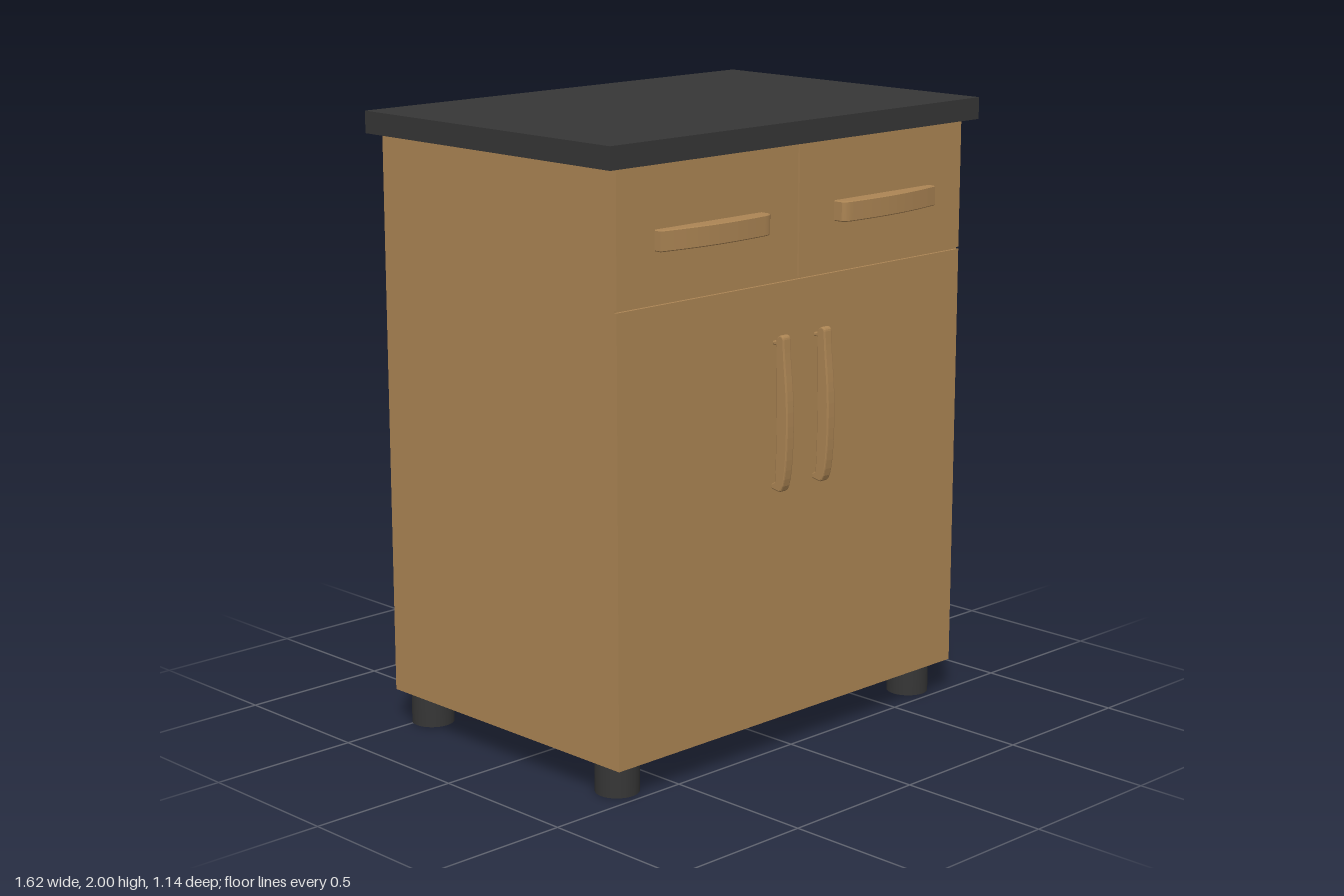
import * as THREE from 'three';

const wood = new THREE.MeshStandardMaterial({ color: 0xac8554 });
wood.name = 'wood';
const charcoal = new THREE.MeshStandardMaterial({ color: 0x363636 });
charcoal.name = 'charcoal';

export function createModel() {
  const model = new THREE.Group();
  model.name = 'cabinet';

  const add = (name, geometry, material) => {
    const mesh = new THREE.Mesh(geometry, material);
    mesh.name = name;
    model.add(mesh);
    return mesh;
  };
  // Box given by its minimum and maximum on each axis
  const box = (name, [x0, x1], [y0, y1], [z0, z1], material) =>
    add(name, new THREE.BoxGeometry(x1 - x0, y1 - y0, z1 - z0), material)
      .position.set((x0 + x1) / 2, (y0 + y1) / 2, (z0 + z1) / 2);

  // Carcass and worktop
  box('carcass', [-0.76, 0.76], [0.11, 1.93], [-0.55, 0.5], wood);
  box('worktop', [-0.81, 0.81], [1.93, 2], [-0.57, 0.54], charcoal);

  // Front panels, separated by narrow grooves
  box('doorFront', [-0.76, 0.76], [0.11, 1.509], [0.5, 0.51], wood);
  for (const [side, s] of [['left', 1], ['right', -1]]) {
    const xs = [0.004 * s, 0.76 * s].sort((a, b) => a - b);
    box(side + 'DrawerFront', xs, [1.516, 1.93], [0.5, 0.51], wood);

    // Drawer handle: bowed bar, blunt inside and tapering outwards
    const bar = new THREE.Shape();
    bar.moveTo(0.16 * s, 0.505);
    bar.lineTo(0.16 * s, 0.542);
    bar.quadraticCurveTo(0.165 * s, 0.556, 0.2 * s, 0.558);
    bar.bezierCurveTo(0.33 * s, 0.568, 0.45 * s, 0.567, 0.608 * s, 0.535);
    bar.lineTo(0.608 * s, 0.505);
    const barGeometry = new THREE.ExtrudeGeometry(bar, {
      depth: 0.058, curveSegments: 10,
      bevelEnabled: true, bevelThickness: 0.003, bevelSize: 0.003, bevelOffset: -0.003, bevelSegments: 1,
    });
    barGeometry.rotateX(Math.PI / 2);
    add(side + 'DrawerHandle', barGeometry, wood).position.y = 1.732;

    // Door handle: upright curved grip standing just off the door
    const grip = new THREE.Shape();
    grip.moveTo(0.505, 1.332);
    grip.lineTo(0.522, 1.335);
    grip.bezierCurveTo(0.53, 1.36, 0.553, 1.356, 0.554, 1.34);
    grip.bezierCurveTo(0.56, 1.22, 0.572, 1.2, 0.572, 1.07);
    grip.bezierCurveTo(0.572, 0.98, 0.565, 0.86, 0.54, 0.86);
    grip.lineTo(0.505, 0.866);
    grip.lineTo(0.505, 0.88);
    grip.lineTo(0.521, 0.89);
    grip.bezierCurveTo(0.528, 1.0, 0.525, 1.2, 0.522, 1.32);
    grip.lineTo(0.505, 1.32);
    const gripGeometry = new THREE.ExtrudeGeometry(grip, {
      depth: 0.024, curveSegments: 8,
      bevelEnabled: true, bevelThickness: 0.005, bevelSize: 0.004, bevelOffset: -0.004, bevelSegments: 2,
    });
    gripGeometry.rotateY(-Math.PI / 2);
    add(side + 'DoorHandle', gripGeometry, wood).position.x = 0.092 * s + 0.012;

    // Round feet
    for (const [end, z] of [['Front', 0.405], ['Back', -0.473]]) {
      add(side + end + 'Foot', new THREE.CylinderGeometry(0.069, 0.069, 0.11, 32), charcoal)
        .position.set(0.67 * s, 0.055, z);
    }
  }
  return model;
}
